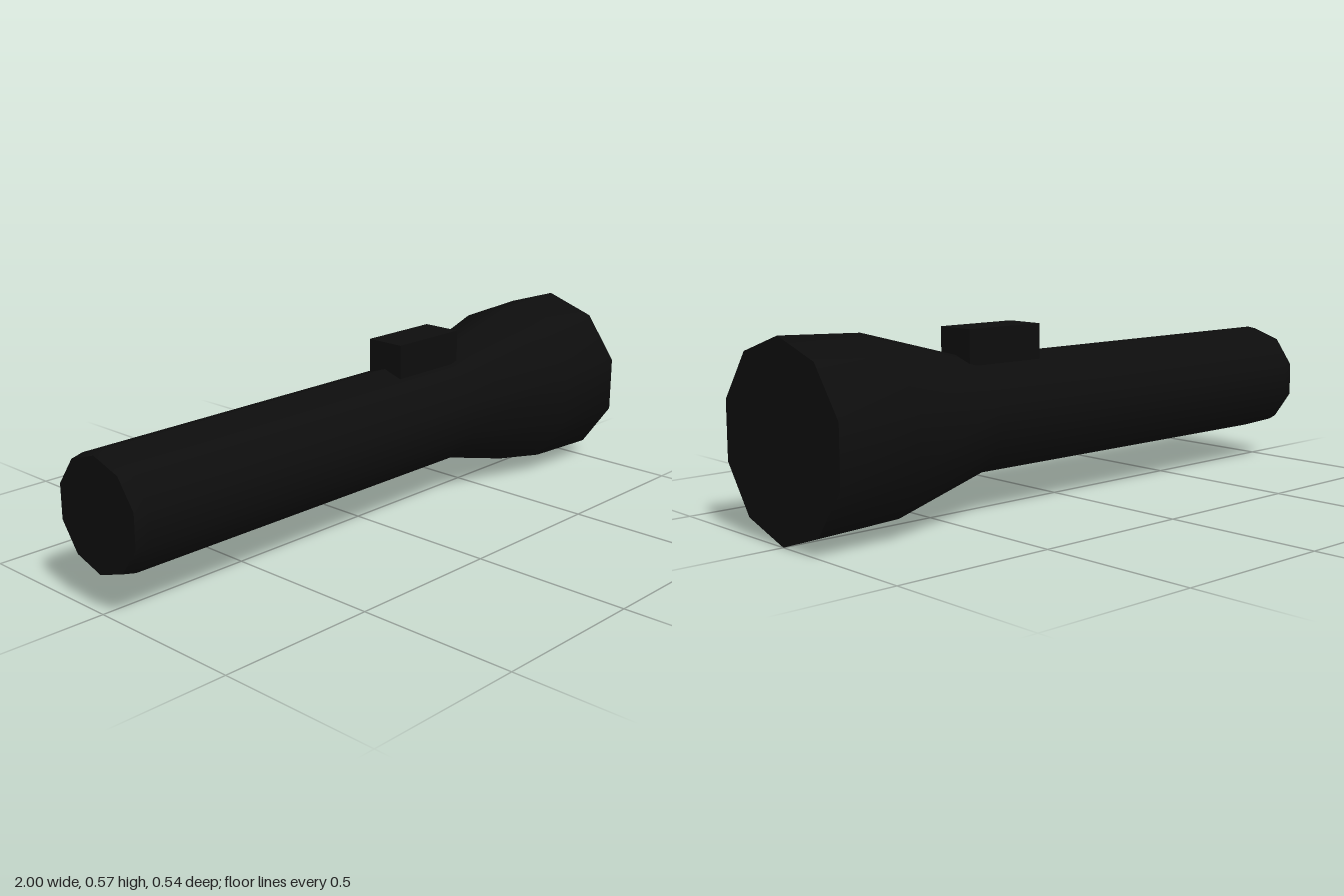
import * as THREE from 'three';
import { toCreasedNormals } from 'three/addons/utils/BufferGeometryUtils.js';

const SIDES = 10;
const AXIS_Y = 0.285;

export function createModel() {
  const model = new THREE.Group();
  model.name = 'flashlight';

  const black = new THREE.MeshStandardMaterial({ color: 0x0d0d0d });
  black.name = 'black';

  // Turns [position along x, radius] pairs into a ten-sided part lying along x
  const turned = (name, profile) => {
    const points = profile.map(([x, r]) => new THREE.Vector2(r, x));
    const lathe = new THREE.LatheGeometry(points, SIDES, Math.PI / 2);
    lathe.rotateZ(-Math.PI / 2);
    const mesh = new THREE.Mesh(toCreasedNormals(lathe, 0.8), black);
    mesh.name = name;
    mesh.position.y = AXIS_Y;
    model.add(mesh);
  };

  // Handle, flared head and closed ends in one smooth skin
  turned('body', [
    [-1, 0], [-1, 0.169], [-0.96, 0.178], [0.37, 0.178],
    [0.735, 0.274], [1, 0.285], [1, 0],
  ]);

  // Sliding switch on top, sunk into the handle
  const button = new THREE.Mesh(new THREE.BoxGeometry(0.275, 0.13, 0.13), black);
  button.name = 'switch';
  button.position.set(0.261, 0.485, 0);
  model.add(button);

  return model;
}
